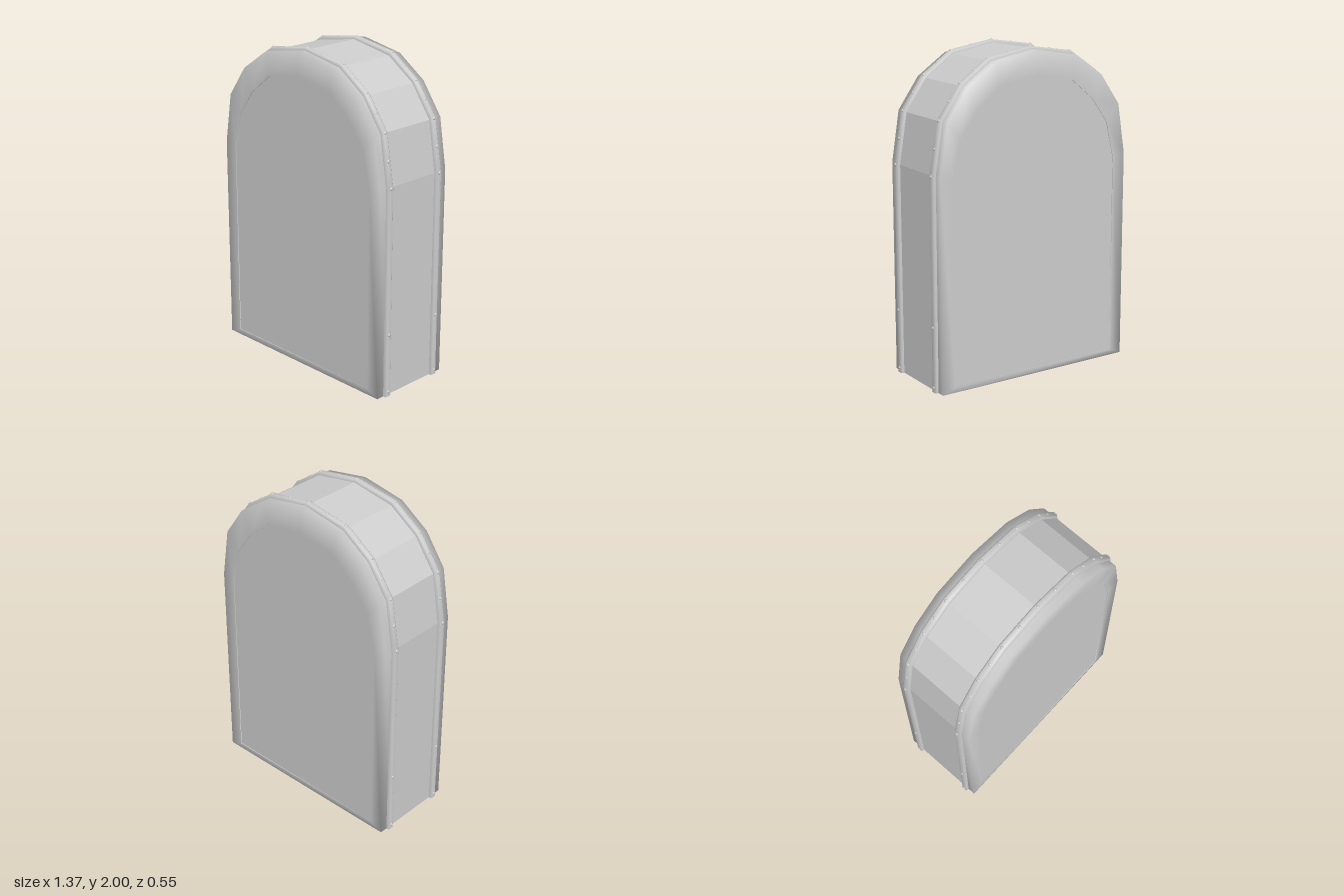
import * as THREE from 'three';

// Half outlines from the base up to the crown: core, strap and inset panel
const CORE = [[0.66, 0], [0.66, 1.3], [0.61, 1.61], [0.475, 1.8], [0.285, 1.93], [0, 1.98]];
const STRAP = [[0.68, 0], [0.68, 1.3], [0.625, 1.62], [0.48, 1.82], [0.29, 1.95], [0, 1.995]];
const PANEL = [[0.575, 0.035], [0.575, 1.28], [0.52, 1.51], [0.41, 1.66], [0.25, 1.79], [0, 1.83]];

const mirror = (half) => [...half, ...half.slice(0, -1).reverse().map(([x, y]) => [-x, y])];
const shapeOf = (pts) => new THREE.Shape(pts.map(([x, y]) => new THREE.Vector2(x, y)));
const core = mirror(CORE), strap = mirror(STRAP), panel = mirror(PANEL);

const grey = new THREE.MeshStandardMaterial({ color: 0xcccccc });
const flatGrey = new THREE.MeshStandardMaterial({ color: 0xcccccc, flatShading: true });

function add(parent, name, geometry, material = grey) {
  const mesh = new THREE.Mesh(geometry, material);
  mesh.name = name;
  parent.add(mesh);
  return mesh;
}

// Skin successive rings of [x, y, z] points with smooth normals
function loft(rings, closed) {
  const n = rings[0].length, index = [];
  for (let i = 0; i < rings.length - 1; i++) {
    for (let j = 0; j < (closed ? n : n - 1); j++) {
      const k = (j + 1) % n;
      const a = i * n + j, b = i * n + k, c = a + n, d = b + n;
      index.push(a, b, d, a, d, c);
    }
  }
  const geo = new THREE.BufferGeometry();
  geo.setAttribute('position', new THREE.Float32BufferAttribute(rings.flat(2), 3));
  geo.setIndex(index);
  geo.computeVertexNormals();
  return geo;
}

const ring = (pts, z) => pts.map(([x, y]) => [x, y, z]);

// One face of the case: rim, inset panel, strap and rivets
function createSide(name) {
  const side = new THREE.Group();
  side.name = name;

  add(side, 'rim', loft([ring(core, 0.2), ring(core, 0.275), ring(panel, 0.275)], true));
  add(side, 'panelLip', loft([ring(panel, 0.275), ring(panel, 0.271)], true));
  add(side, 'panel', new THREE.ShapeGeometry(shapeOf(panel))).position.z = 0.271;

  // Strap section: [0 = core surface, 1 = outer surface; z]
  const section = [[-0.3, 0.18], [0.6, 0.18], [1, 0.19], [1, 0.215], [0.6, 0.225], [-0.3, 0.225]];
  const rings = section.map(([t, z]) => core.map(([x, y], j) =>
    [x + (strap[j][0] - x) * t, y + (strap[j][1] - y) * t, z]));
  add(side, 'strap', loft(rings, false));
  for (const s of [1, -1]) {
    add(side, 'strapEnd', new THREE.BoxGeometry(0.024, 0.004, 0.044)).position.set(s * 0.666, 0.002, 0.2025);
  }

  // Rivets at each bend, midway along the arch, and down the legs
  const spots = [[0.68, 0.03], [0.68, 0.4], [-0.68, 0.03], [-0.68, 0.4]];
  for (let j = 1; j < strap.length - 1; j++) {
    const [x, y] = strap[j], [u, v] = strap[j + 1];
    spots.push([x, y]);
    if (j < strap.length - 2) spots.push([(x + u) / 2, (y + v) / 2]);
  }
  const rivet = new THREE.SphereGeometry(0.011, 8, 6);
  for (const [x, y] of spots) {
    add(side, 'rivet', rivet).position.set(x * 0.994, y > 1.3 ? y - 0.005 : y, 0.2025);
  }
  return side;
}

export function createModel() {
  const model = new THREE.Group();
  model.name = 'archedCase';

  // Faceted core between the two faces
  const body = new THREE.ExtrudeGeometry(shapeOf(core), { depth: 0.4, bevelEnabled: false });
  body.translate(0, 0, -0.2);
  add(model, 'body', body, flatGrey);

  const back = createSide('backSide');
  back.rotation.y = Math.PI;
  model.add(createSide('frontSide'), back);
  return model;
}
